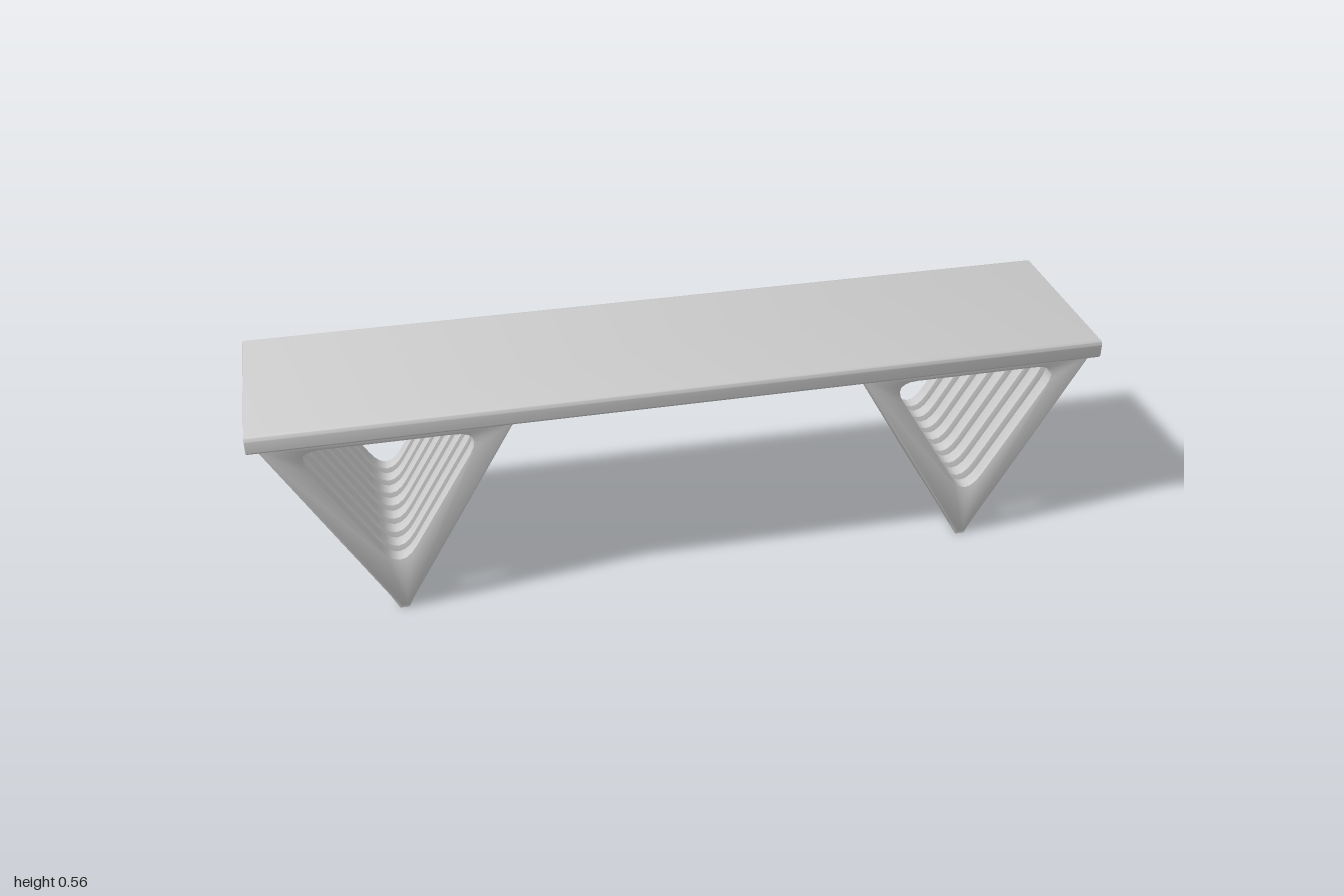
import * as THREE from 'three';
import { toCreasedNormals } from 'three/addons/utils/BufferGeometryUtils.js';

const LENGTH = 2.155, WIDTH = 0.49, TOP = 0.56, UNDER = 0.512;
const SLATS = 8, SLAT = 0.04, LEG_WIDTH = 0.465, LEG_X = 0.747;
const PITCH = (LEG_WIDTH - SLAT) / (SLATS - 1);
const slatZ = (i) => (i - (SLATS - 1) / 2) * PITCH;

const material = new THREE.MeshStandardMaterial({ color: 0xcccccc });

// Closed path with every corner rounded; points are [x, y, radius]
function rounded(path, points) {
  const n = points.length;
  points.forEach(([x, y, r], i) => {
    const p = new THREE.Vector2(x, y);
    const toward = (q) => new THREE.Vector2(q[0], q[1]).sub(p).setLength(r).add(p);
    const a = toward(points[(i + n - 1) % n]);
    const b = toward(points[(i + 1) % n]);
    if (i === 0) path.moveTo(a.x, a.y);
    else path.lineTo(a.x, a.y);
    path.quadraticCurveTo(x, y, b.x, b.y);
  });
  path.closePath();
  return path;
}

// Extrusion centred on its depth
function extrude(shape, depth, bevel = 0) {
  const g = new THREE.ExtrudeGeometry(shape, {
    depth: depth - 2 * bevel, curveSegments: 6, bevelEnabled: bevel > 0,
    bevelThickness: bevel, bevelSize: bevel, bevelOffset: -bevel, bevelSegments: 2,
  });
  g.translate(0, 0, -depth / 2 + bevel);
  return toCreasedNormals(g, 0.7);
}

function mesh(name, geometry) {
  const m = new THREE.Mesh(geometry, material);
  m.name = name;
  return m;
}

// Long top with softened edges and shallow grooves between the strips below
function makeSeat() {
  const w = WIDTH / 2, r = 0.012, groove = 0.007, depth = 0.012;
  const points = [[-w, TOP, r], [-w, UNDER, r]];
  for (let i = 0; i < SLATS - 1; i++) {
    const z = slatZ(i) + PITCH / 2;
    points.push([z - groove, UNDER, 0.002], [z - groove / 2, UNDER + depth, 0.002],
      [z + groove / 2, UNDER + depth, 0.002], [z + groove, UNDER, 0.002]);
  }
  points.push([w, UNDER, r], [w, TOP, r]);
  const seat = mesh('seat', extrude(rounded(new THREE.Shape(), points), LENGTH, 0.004));
  seat.rotation.y = Math.PI / 2;
  return seat;
}

// V-shaped support: a row of open triangular slats joined along foot and top
function makeLeg(x) {
  const leg = new THREE.Group();
  leg.name = 'leg';
  leg.position.x = x;
  const top = UNDER + 0.004, half = 0.307, foot = 0.012;

  const frame = rounded(new THREE.Shape(), [
    [-foot, 0.004, 0.005], [foot, 0.004, 0.005], [half, top, 0.008], [-half, top, 0.008],
  ]);
  frame.holes.push(rounded(new THREE.Path(), [
    [0, 0.115, 0.085], [-0.228, 0.497, 0.07], [0.228, 0.497, 0.07],
  ]));
  const slat = extrude(frame, SLAT, 0.005);
  for (let i = 0; i < SLATS; i++) {
    const m = mesh('slat', slat);
    m.position.z = slatZ(i);
    leg.add(m);
  }

  // Solid foot bar running across the width
  const rise = 0.04, spread = foot + (half - foot) * rise / top - 0.003;
  const bar = new THREE.Shape([
    new THREE.Vector2(-foot, 0), new THREE.Vector2(foot, 0),
    new THREE.Vector2(spread, rise), new THREE.Vector2(-spread, rise),
  ]);
  leg.add(mesh('footBar', extrude(bar, LEG_WIDTH - 0.004)));

  // Thin panel closing the slots under the seat
  const panel = mesh('topPanel', new THREE.BoxGeometry(half * 2 - 0.03, 0.018, LEG_WIDTH - 0.01));
  panel.position.y = top - 0.009;
  leg.add(panel);
  return leg;
}

export function createModel() {
  const bench = new THREE.Group();
  bench.name = 'bench';
  bench.add(makeSeat());
  for (const side of [-1, 1]) bench.add(makeLeg(side * LEG_X));
  // The bench stands diagonally
  bench.rotation.y = -0.677;
  const model = new THREE.Group();
  model.add(bench);
  return model;
}
